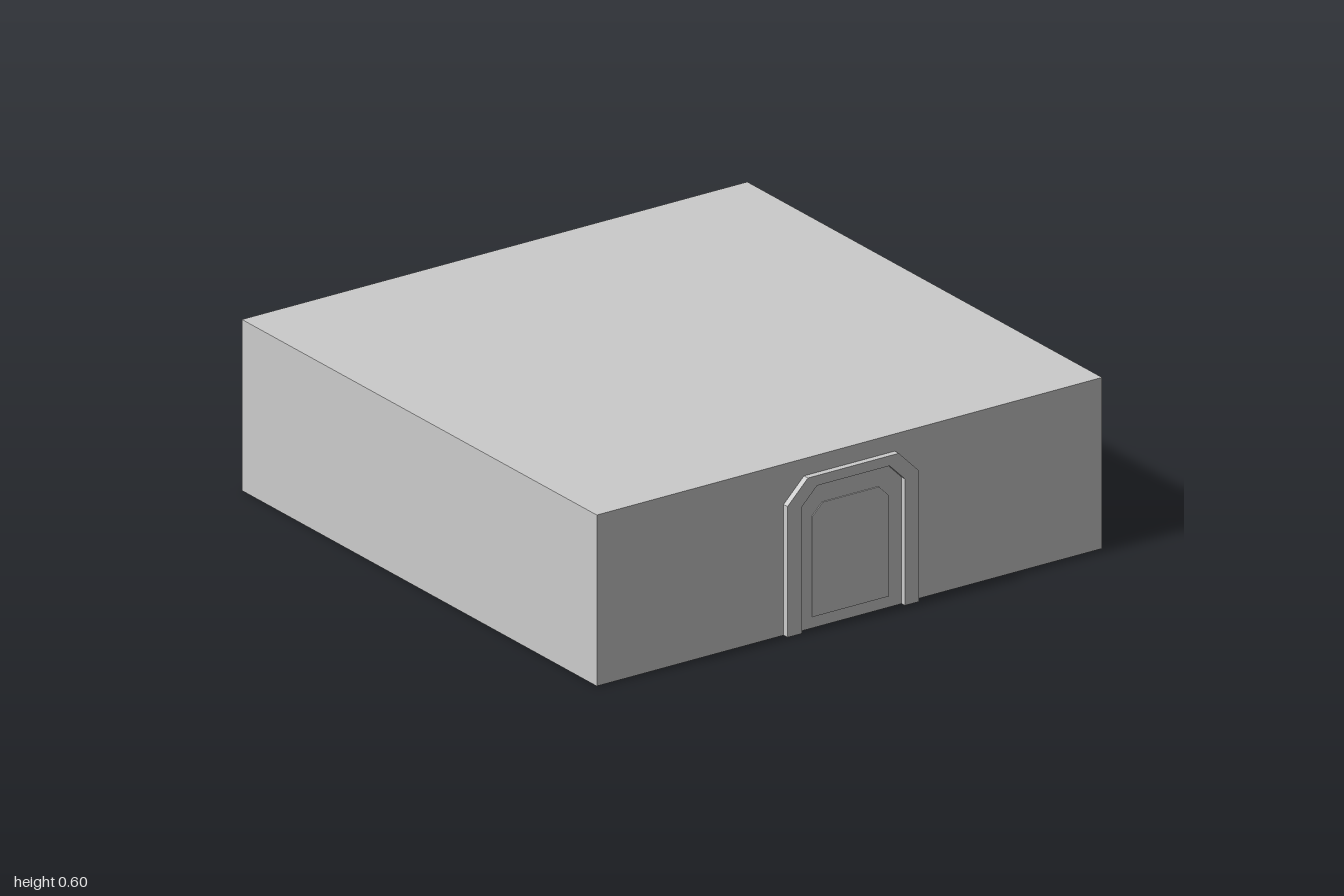
import * as THREE from 'three';

// Doorway outline: straight sides with chamfered top corners
function archPoints(halfW, bottom, top, cutX, cutY) {
  return [
    [-halfW, bottom], [halfW, bottom], [halfW, top - cutY], [halfW - cutX, top],
    [-halfW + cutX, top], [-halfW, top - cutY],
  ].map(([x, y]) => new THREE.Vector2(x, y));
}

export function createModel() {
  const group = new THREE.Group();
  const material = new THREE.MeshStandardMaterial({ color: 0xcccccc, flatShading: true });

  function add(name, geometry, z) {
    const mesh = new THREE.Mesh(geometry, material);
    mesh.name = name;
    mesh.position.z = z;
    group.add(mesh);
    return mesh;
  }
  const extrude = (points, depth) =>
    new THREE.ExtrudeGeometry(new THREE.Shape(points), { depth, bevelEnabled: false });

  // Main block
  const wallZ = 0.978;
  const height = 0.595;
  add('block', new THREE.BoxGeometry(1.98, height, 1 + wallZ), (wallZ - 1) / 2).position.y = height / 2;

  // Door frame: outer arch minus the opening, as one open-bottomed outline
  const outer = archPoints(0.258, 0, 0.535, 0.08, 0.08);
  const inner = archPoints(0.202, 0, 0.5, 0.06, 0.06);
  const frame = [...outer.slice(1), outer[0], inner[0], ...inner.slice(2).reverse(), inner[1]];
  add('doorFrame', extrude(frame, 1 - wallZ), wallZ);

  // Door leaf with a shallow raised panel
  add('door', extrude(inner, 0.004), wallZ);
  add('doorPanel', extrude(archPoints(0.15, 0.04, 0.43, 0.04, 0.04), 0.004), wallZ + 0.004);

  return group;
}
